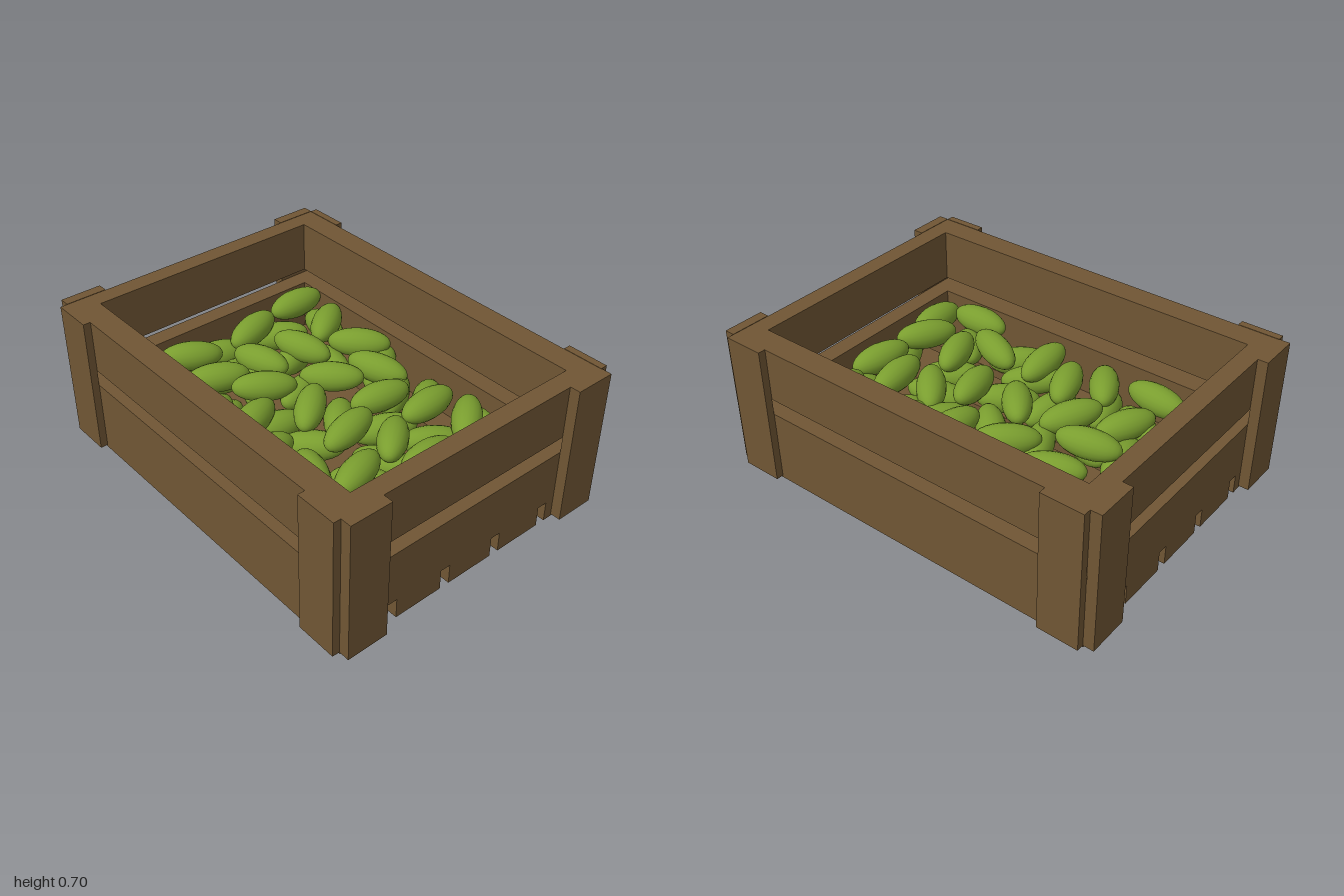
import * as THREE from 'three';

const wood = new THREE.MeshStandardMaterial({ color: 0x705634 });
wood.name = 'brown wood';
const green = new THREE.MeshStandardMaterial({ color: 0x7a9e2f });
green.name = 'green skin';

// Fruit as [x, z, heading in degrees], in hundredths of a unit
const topLayer = [
  [-22, -73, -25], [46, -76, 0], [14, -71, 15], [-48, -51, 88], [-23, -50, -25],
  [0, -46, -75], [23, -43, -70], [47, -53, 35], [-43, -25, 32], [-12, -28, -30],
  [47, -28, -47], [18, -15, -48], [40, -7, -68], [-32, -11, 20], [-6, -2, 40],
  [-41, 9, 0], [25, 11, -10], [-4, 22, 12], [-35, 34, 68], [37, 30, 3],
];
const topLayerFront = [
  [8, 38, 40], [-21, 47, 18], [42, 50, 40], [11, 57, 3], [-53, 58, 90],
  [-24, 69, -28], [5, 73, -15], [36, 70, 3], [-41, 77, 0],
];
const lowLayer = [
  [-38, -69, 12], [-6, -74, -15], [28, -69, -35], [53, -62, 80], [-10, -57, 8],
  [-34, -50, 60], [22, -48, 25], [33, -32, 75], [-37, -30, 15], [6, -23, 20],
  [-21, -10, -10], [-16, 11, -50], [7, 3, 45], [38, 7, 35], [48, -14, 30],
  [48, 19, 38], [-46, 27, -50], [16, 24, -30], [-35, 11, -60], [-15, 45, -55],
  [1, 40, -70], [27, 45, -30], [52, 48, 85], [-40, 55, 45], [-13, 74, 20],
  [26, 72, -20], [-8, -40, 60],
];

function board(parent, name, size, pos) {
  const m = new THREE.Mesh(new THREE.BoxGeometry(...size), wood);
  m.name = name;
  m.position.set(...pos);
  parent.add(m);
}

export function createModel() {
  const model = new THREE.Group();
  model.name = 'fruitCrate';

  // Floor slats
  const floor = new THREE.Group();
  floor.name = 'floor';
  for (let i = -2; i <= 2; i++) {
    board(floor, 'floorSlat', [0.248, 0.1, 1.9], [i * 0.298, 0.05, 0]);
  }
  model.add(floor);

  // Two rows of wall planks with a gap between them
  const walls = new THREE.Group();
  walls.name = 'walls';
  for (const y of [0.23, 0.57]) {
    for (const s of [-1, 1]) {
      board(walls, 'endPlank', [1.44, 0.26, 0.09], [0, y, s * 0.905]);
      board(walls, 'sidePlank', [0.12, 0.26, 1.72], [s * 0.66, y, 0]);
    }
  }
  model.add(walls);

  // Upright boards on both faces of each corner
  const corners = new THREE.Group();
  corners.name = 'cornerBoards';
  for (const sx of [-1, 1]) {
    for (const sz of [-1, 1]) {
      board(corners, 'endUpright', [0.202, 0.692, 0.05], [sx * 0.62, 0.356, sz * 0.975]);
      board(corners, 'sideUpright', [0.036, 0.692, 0.2], [sx * 0.738, 0.356, sz * 0.848]);
    }
  }
  model.add(corners);

  // Heap of oblong fruit, poles lying along the length
  const fruitGeo = new THREE.SphereGeometry(1, 18, 14);
  fruitGeo.rotateZ(Math.PI / 2);
  fruitGeo.scale(0.155, 0.072, 0.072);
  const heap = new THREE.Group();
  heap.name = 'fruitHeap';
  const addLayer = (list, y, tilt) => list.forEach(([x, z, deg], i) => {
    const m = new THREE.Mesh(fruitGeo, green);
    m.name = 'fruit';
    m.position.set(x / 100, y + 0.006 * ((i * 3) % 4 - 1.5), z / 100);
    m.rotation.set(0, THREE.MathUtils.degToRad(deg), tilt * ((i % 3) - 1));
    heap.add(m);
  });
  addLayer(lowLayer, 0.24, 0.12);
  addLayer(topLayer, 0.325, 0.06);
  addLayer(topLayerFront, 0.325, 0.06);
  model.add(heap);

  return model;
}
